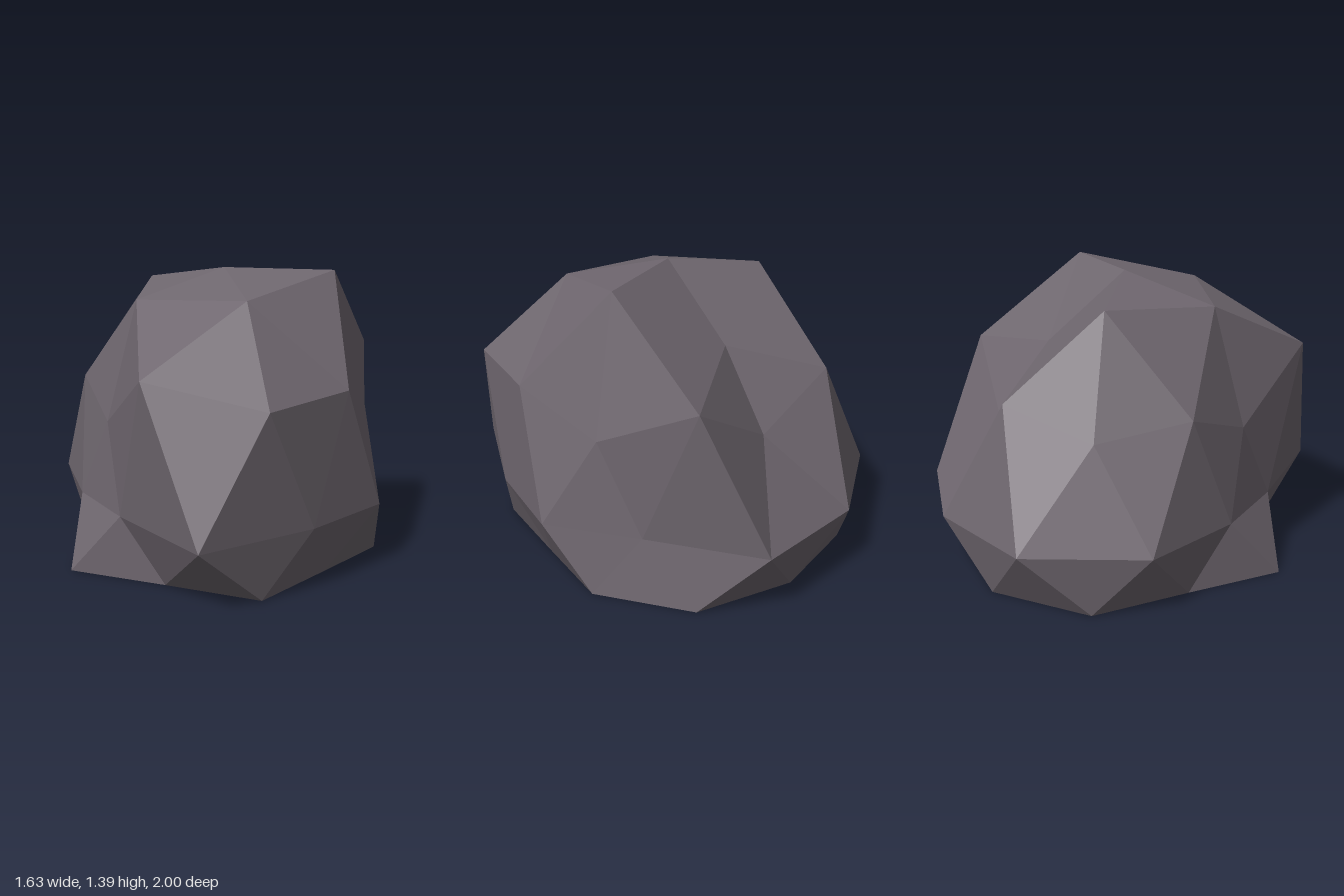
import * as THREE from 'three';

// Low-poly boulder: rings of points around a vertical axis, flat underneath.
const CX = 0.04, CZ = -0.05, WAIST = 0.305;

// Point at an angle in degrees (anticlockwise from above), a radius and a height.
function point(deg, radius, y) {
  const a = THREE.MathUtils.degToRad(deg);
  return [CX + radius * Math.cos(a), y, CZ - radius * Math.sin(a)];
}

export function createModel() {
  // Radii of each ring; heights grow with the radius by a fixed slope per ring.
  const crownR = [0.53, 0.37, 0.494, 0.472, 0.485];
  const shoulderR = [0.69, 0.848, 0.615, 0.756, 0.754, 0.695, 0.632, 0.89, 0.917, 0.756];
  const waistR = [0.715, 0.99, 0.95, 0.995, 0.905, 0.71, 0.71, 0.805, 1.05, 0.81];
  waistR.splice(0, 10, 0.715, 0.99, 0.95, 0.997, 0.905, 0.71, 0.715, 1.05, 0.805, 0.81);
  const baseR = [0.757, 0.835, 0.81, 0.855, 0.843, 0.675, 0.837, 0.662, 0.81, 0.635];

  const peak = [CX, 1.393, CZ];
  const crown = crownR.map((r, k) => point(72 * k, r, WAIST + 2.04 * r));
  const shoulder = shoulderR.map((r, k) =>
    point(36 * k, r, WAIST + (k % 2 ? 0.78 : 0.63) * r));
  const waist = waistR.map((r, k) => point(36 * k + 18, r, WAIST));
  const base = baseR.map((r, k) => point(36 * k, r, 0));
  const baseCentre = [CX, 0, CZ];

  const positions = [];
  const tri = (a, b, c) => positions.push(...a, ...b, ...c);

  // Top: five large faces, each split in four
  for (let k = 0; k < 5; k++) {
    const p = crown[k], q = crown[(k + 1) % 5];
    const left = shoulder[2 * k], mid = shoulder[2 * k + 1], right = shoulder[(2 * k + 2) % 10];
    tri(peak, p, q);
    tri(p, left, mid);
    tri(p, mid, q);
    tri(q, mid, right);
  }

  // Sides and flat underside
  for (let k = 0; k < 10; k++) {
    const n = (k + 1) % 10, prev = (k + 9) % 10;
    tri(shoulder[k], waist[prev], waist[k]);
    tri(shoulder[k], waist[k], shoulder[n]);
    tri(waist[prev], base[k], waist[k]);
    tri(waist[k], base[k], base[n]);
    tri(baseCentre, base[n], base[k]);
  }

  const geometry = new THREE.BufferGeometry();
  geometry.setAttribute('position', new THREE.Float32BufferAttribute(positions, 3));
  geometry.computeVertexNormals();

  const stone = new THREE.MeshStandardMaterial({ color: 0x6f676f, flatShading: true });
  stone.name = 'stone';
  const boulder = new THREE.Mesh(geometry, stone);
  boulder.name = 'boulder';

  const group = new THREE.Group();
  group.name = 'rock';
  group.add(boulder);
  return group;
}
